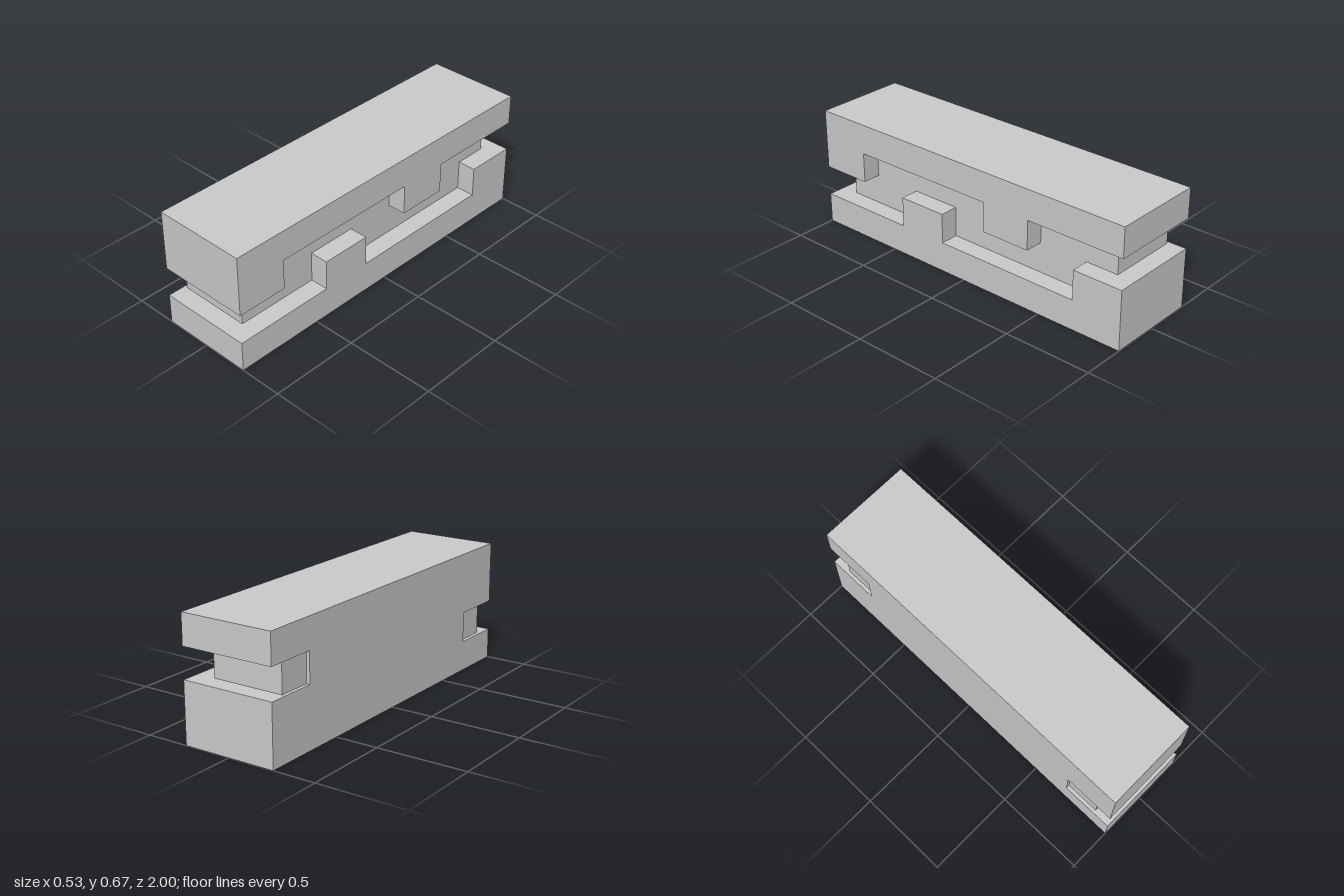
import * as THREE from 'three';

const W = 0.264;                              // half width
const Y1 = 0.168, Y2 = 0.335, H = 0.67;       // layer heights
const LEFT = -0.245, RIGHT = 0.16;            // sides of the inner core

export function createModel() {
  const group = new THREE.Group();
  const material = new THREE.MeshStandardMaterial({ color: 0xcccccc, flatShading: true });

  // Extrude a side profile of [z, y] points from x0 to x1
  function slab(name, points, x0, x1) {
    const shape = new THREE.Shape(points.map(([z, y]) => new THREE.Vector2(-z, y)));
    const geometry = new THREE.ExtrudeGeometry(shape, { depth: x1 - x0, bevelEnabled: false });
    geometry.rotateY(Math.PI / 2).translate(x0, 0, 0);
    const mesh = new THREE.Mesh(geometry, material);
    mesh.name = name;
    group.add(mesh);
  }

  // Half-turn of a profile about the middle of the block
  const turned = (points) => points.map(([z, y]) => [-z, H - y]);

  // Block with a low notch at the front and a high notch at the back
  const notched = (end) => {
    const front = [[1, 0], [1, Y1], [end, Y1], [end, Y2], [1, Y2], [1, H]];
    return [...front, ...turned(front)];
  };

  // Thin side wall, and the core with its longer tongue in each notch
  slab('sideWall', notched(0.713), -W, LEFT);
  slab('core', notched(0.9), LEFT, RIGHT);

  // Stepped rails on the open side, with a winding channel between them
  const rail = [
    [1, 0], [1, Y1], [0.428, Y1], [0.428, Y2], [0.143, Y2], [0.143, Y1],
    [-0.713, Y1], [-0.713, Y2], [-1, Y2], [-1, 0],
  ];
  slab('lowerRail', rail, RIGHT, W);
  slab('upperRail', turned(rail), RIGHT, W);

  return group;
}
